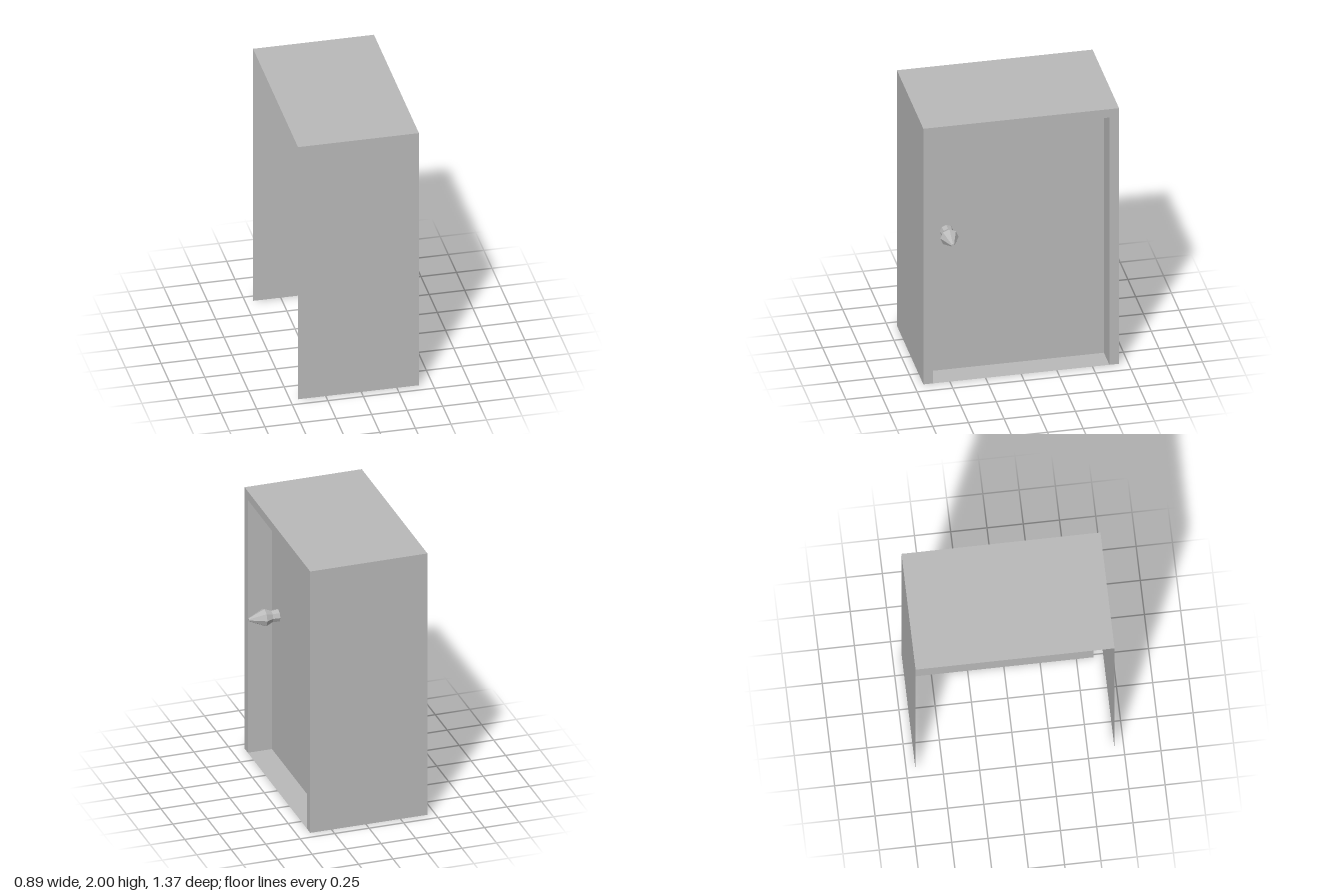
import * as THREE from 'three';

const BACK = -0.445, FACE = 0.405, DOOR = 0.23; // x of open back, frame face, door
const W = 0.686, H = 2;                          // outer half width, height
const w = 0.618, h = 1.935;                      // opening half width, height

export function createModel() {
  const model = new THREE.Group();
  const grey = new THREE.MeshStandardMaterial({ color: 0xbababa, side: THREE.DoubleSide });
  const metal = grey.clone();
  metal.flatShading = true;
  grey.name = 'plainGrey';
  metal.name = 'plainGreyFaceted';

  const add = (name, geometry, material = grey) => {
    const mesh = new THREE.Mesh(geometry, material);
    mesh.name = name;
    model.add(mesh);
    return mesh;
  };

  // Sheets: upright facing +x, horizontal facing up, and side walls facing z
  const level = (name, x0, x1, halfZ, y) =>
    add(name, new THREE.PlaneGeometry(x1 - x0, halfZ * 2).rotateX(-Math.PI / 2).translate((x0 + x1) / 2, y, 0));
  const wall = (name, x0, x1, z, height, facing) =>
    add(name, new THREE.PlaneGeometry(x1 - x0, height)
      .rotateY(facing > 0 ? 0 : Math.PI).translate((x0 + x1) / 2, height / 2, z));

  // Outer shell, open at the back and below
  level('topPanel', BACK, FACE, W, H);
  for (const s of [1, -1]) {
    wall(s > 0 ? 'frontWall' : 'backWall', BACK, FACE, s * W, H, s);
    wall(s > 0 ? 'frontJamb' : 'backJamb', DOOR, FACE, s * w, h, -s);
  }

  // Door frame face, open at the bottom
  const frame = new THREE.Shape([
    [-W, 0], [-w, 0], [-w, h], [w, h], [w, 0], [W, 0], [W, H], [-W, H],
  ].map(([x, y]) => new THREE.Vector2(x, y)));
  add('doorFrame', new THREE.ShapeGeometry(frame).rotateY(Math.PI / 2).translate(FACE, 0, 0));

  // Recess lining and door
  level('lintel', DOOR, FACE, w, h).geometry.rotateX(Math.PI).translate(0, 2 * h, 0);
  level('sill', DOOR, FACE, w, 0);
  add('door', new THREE.PlaneGeometry(w * 2, h).rotateY(Math.PI / 2).translate(DOOR, h / 2, 0));

  // Eight-sided pointed knob, its shank passing through the door
  const profile = [[0, 0.195], [0.045, 0.195], [0.046, 0.23], [0.042, 0.28], [0.064, 0.33], [0.011, 0.445], [0, 0.445]]
    .map(([r, x]) => new THREE.Vector2(r, x));
  const knob = add('doorKnob', new THREE.LatheGeometry(profile, 8).rotateZ(-Math.PI / 2), metal);
  knob.position.set(0, 1.085, 0.487);

  return model;
}
